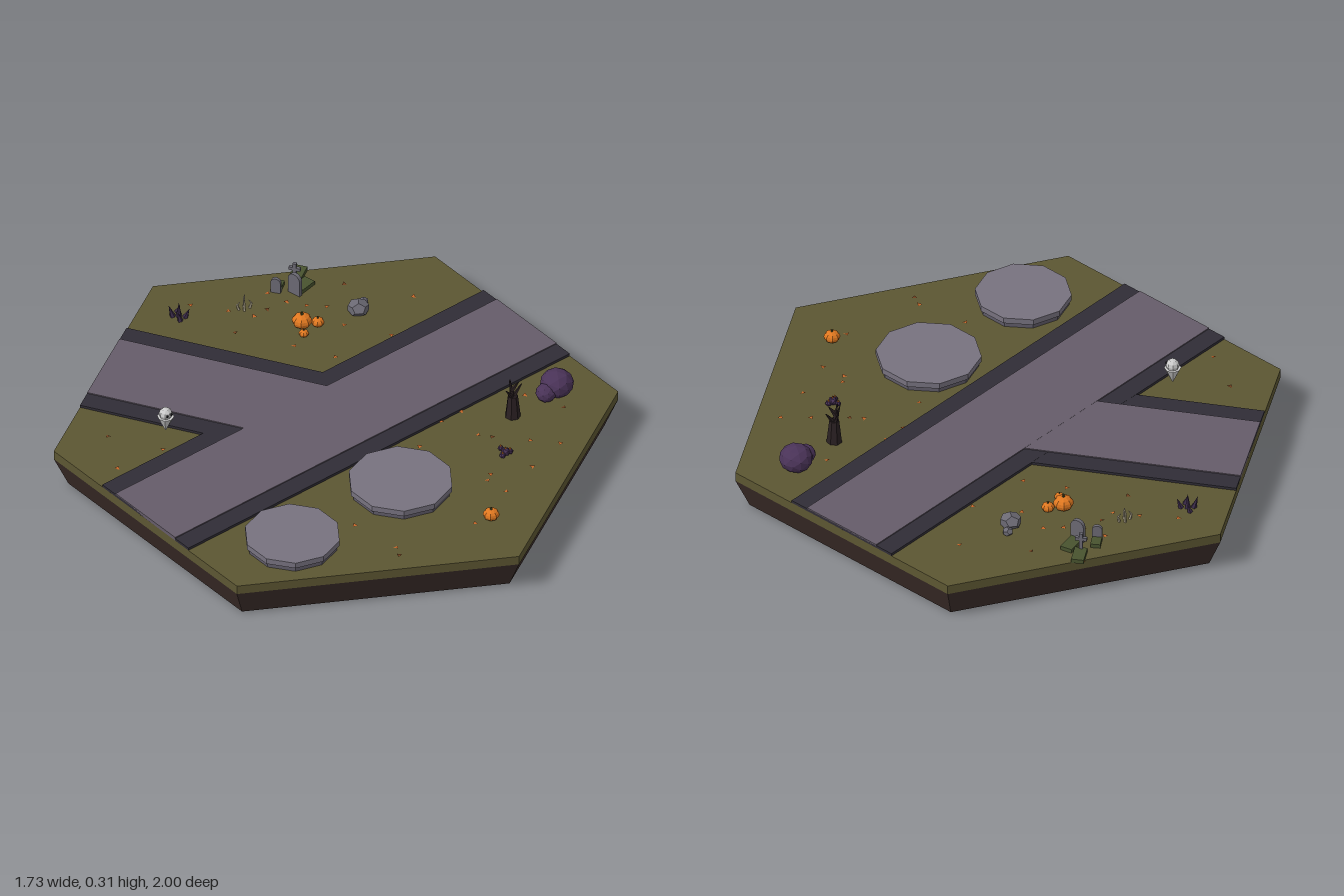
import * as THREE from 'three';

const GROUND = 0.15;

function material(color, side = THREE.FrontSide) {
  return new THREE.MeshStandardMaterial({ color, flatShading: true, side });
}
const MAT = {
  dirt: material(0x3d2e2a), grass: material(0x5c5632), kerb: material(0x302d36), road: material(0x655c69),
  slab: material(0x77727f), slabBase: material(0x5f5b68), orange: material(0xe07820), stem: material(0x4a4a22),
  rock: material(0x6b6973), bark: material(0x2a2022), purple: material(0x4a3358), crystal: material(0x3a2a48),
  white: material(0xe6e6e6), eye: material(0x202024), bone: material(0xbfb59a), moss: material(0x48532f),
  leaf: material(0xc8682a, THREE.DoubleSide), darkLeaf: material(0x70401f, THREE.DoubleSide),
};

export function createModel() {
  const model = new THREE.Group();

  function add(parent, name, geometry, mat, x = 0, y = 0, z = 0) {
    const mesh = new THREE.Mesh(geometry, mat);
    mesh.name = name;
    mesh.position.set(x, y, z);
    parent.add(mesh);
    return mesh;
  }
  function group(name, x, z, turn = 0) {
    const g = new THREE.Group();
    g.name = name;
    g.position.set(x, GROUND, z);
    g.rotation.y = turn;
    model.add(g);
    return g;
  }
  // Tapered stick between two points
  function stick(parent, name, from, to, r0, r1, mat, sides = 5) {
    const a = new THREE.Vector3(...from), b = new THREE.Vector3(...to);
    const dir = b.clone().sub(a);
    const mesh = add(parent, name, new THREE.CylinderGeometry(r1, r0, dir.length(), sides), mat);
    mesh.position.copy(a).add(b).multiplyScalar(0.5);
    mesh.quaternion.setFromUnitVectors(new THREE.Vector3(0, 1, 0), dir.normalize());
    return mesh;
  }

  // Hexagonal tile
  add(model, 'dirtBase', new THREE.CylinderGeometry(1, 0.948, 0.115, 6), MAT.dirt, 0, 0.0575, 0);
  add(model, 'grassTop', new THREE.CylinderGeometry(1, 1, 0.035, 6), MAT.grass, 0, 0.1325, 0);

  // Road through the middle and a branch to the back-left edge, each on a wider kerb
  const APOTHEM = 0.866;
  for (const [name, width, top, mat] of [['kerb', 0.47, 0.16, MAT.kerb], ['road', 0.326, 0.164, MAT.road]]) {
    const h = top - 0.148;
    add(model, name + 'Main', new THREE.BoxGeometry(APOTHEM * 2, h, width), mat, 0, top - h / 2, 0);
    const branch = add(model, name + 'Branch', new THREE.BoxGeometry(APOTHEM, h, width), mat,
      -APOTHEM / 4, top - h / 2 - 0.0004, -APOTHEM * 0.433);
    branch.rotation.y = -Math.PI / 3;
  }

  // Round stone platforms
  for (const [x, z, r] of [[-0.56, 0.435, 0.17], [-0.07, 0.437, 0.186]]) {
    const g = group('stonePlatform', x, z);
    add(g, 'platformBase', new THREE.CylinderGeometry(r * 0.95, r * 0.95, 0.02, 10), MAT.slabBase, 0, 0.01, 0);
    add(g, 'platformTop', new THREE.CylinderGeometry(r, r, 0.022, 10), MAT.slab, 0, 0.031, 0);
  }

  // Ribbed pumpkins
  for (const [x, z, r] of [[0.255, -0.492, 0.036], [0.224, -0.445, 0.018], [0.3, -0.46, 0.023], [0.062, 0.773, 0.029]]) {
    const g = group('pumpkin', x, z);
    const geo = new THREE.SphereGeometry(r, 16, 8), p = geo.attributes.position;
    for (let i = 0; i < p.count; i++) {
      const k = 0.96 + 0.05 * Math.cos(8 * Math.atan2(p.getZ(i), p.getX(i)));
      p.setXYZ(i, p.getX(i) * k, p.getY(i) * 0.75, p.getZ(i) * k);
    }
    geo.computeVertexNormals();
    add(g, 'pumpkinBody', geo, MAT.orange, 0, r * 0.72, 0);
    add(g, 'pumpkinStem', new THREE.CylinderGeometry(r * 0.1, r * 0.17, r * 0.4, 5), MAT.stem, 0, r * 1.55, 0);
  }

  // Rocks and purple bushes
  for (const [name, x, z, r, squash, mat] of [
    ['rock', 0.455, -0.425, 0.04, 0.75, MAT.rock], ['rock', 0.498, -0.45, 0.02, 0.8, MAT.rock],
    ['bush', 0.7, 0.365, 0.06, 0.85, MAT.purple], ['bush', 0.647, 0.37, 0.038, 0.9, MAT.purple]]) {
    const geo = name === 'rock' ? new THREE.DodecahedronGeometry(r) : new THREE.IcosahedronGeometry(r, 1);
    const mesh = add(model, name, geo, mat, x, GROUND + r * squash * 0.8, z);
    mesh.scale.y = squash;
    mesh.rotation.y = x * 9;
  }

  // Bare dead tree
  const tree = group('deadTree', 0.495, 0.37);
  stick(tree, 'trunk', [0, 0, 0], [0, 0.09, 0], 0.028, 0.018, MAT.bark, 7);
  for (const [from, to] of [
    [[0, 0.08, 0], [-0.01, 0.158, -0.005]], [[0, 0.08, 0], [0.034, 0.13, 0.008]], [[0, 0.08, 0], [-0.034, 0.128, 0.005]],
    [[0, 0.07, 0], [0.012, 0.135, -0.03]], [[-0.005, 0.115, 0], [0.014, 0.148, 0.014]]])
    stick(tree, 'branch', from, to, 0.01, 0.002, MAT.bark);

  // Little floating ghost with a tapering tail
  const ghost = group('ghost', -0.52, -0.305);
  add(ghost, 'ghostTail', new THREE.CylinderGeometry(0.03, 0.003, 0.058, 8), MAT.white, 0, 0.07, 0);
  add(ghost, 'ghostHead', new THREE.SphereGeometry(0.024, 8, 6), MAT.white, 0, 0.11, 0);
  for (const side of [-1, 1])
    add(ghost, 'ghostEye', new THREE.SphereGeometry(0.005, 6, 4), MAT.eye, side * 0.009, 0.114, 0.021);

  // Graves: a mossy mound with a headstone at one end
  const stoneShape = new THREE.Shape();
  stoneShape.moveTo(-0.026, 0);
  stoneShape.lineTo(0.026, 0);
  stoneShape.lineTo(0.026, 0.06);
  stoneShape.absarc(0, 0.06, 0.026, 0, Math.PI);
  const stoneGeo = new THREE.ExtrudeGeometry(stoneShape, { depth: 0.014, bevelEnabled: false, curveSegments: 6 });
  stoneGeo.translate(0, 0, -0.007).rotateY(Math.PI / 2);
  for (const [x, z, turn, length, width, kind] of [
    [0.33, -0.715, 0.6, 0.055, 0.035, 'small'], [0.43, -0.725, 0.55, 0.075, 0.045, 'cross'], [0.395, -0.66, 0.2, 0.085, 0.045, 'tall']]) {
    const g = group('grave', x, z, turn);
    add(g, 'graveMound', new THREE.BoxGeometry(length, 0.016, width), MAT.moss, 0, 0.007, 0);
    const end = -length / 2 + 0.003;
    if (kind === 'cross') {
      add(g, 'crossPost', new THREE.BoxGeometry(0.012, 0.078, 0.013), MAT.rock, end, 0.039, 0);
      add(g, 'crossArm', new THREE.BoxGeometry(0.012, 0.012, 0.042), MAT.rock, end, 0.055, 0);
    } else {
      const stone = add(g, 'headstone', stoneGeo, MAT.rock, end, 0, 0);
      if (kind === 'small') stone.scale.set(0.9, 0.7, 0.7);
    }
  }

  // Dark crystal spikes
  const crystals = group('crystals', -0.04, -0.81);
  for (const [x, z, h, lean] of [[0, 0, 0.058, 0], [0.014, 0.018, 0.038, 0.01], [-0.016, -0.014, 0.045, -0.01], [0.012, -0.022, 0.03, 0.006], [-0.012, 0.022, 0.034, -0.006]])
    stick(crystals, 'crystalSpike', [x, 0, z], [x + lean, h, z + lean], 0.011, 0.0005, MAT.crystal, 5);

  // Pale curved bones sticking out of the soil
  const bones = group('bones', 0.163, -0.697);
  for (let i = 0; i < 4; i++) {
    const x = (i - 1.5) * 0.012, h = 0.035 + 0.012 * (i % 3), z = (i % 2 - 0.5) * 0.016;
    stick(bones, 'boneLower', [x, 0, z], [x * 1.3, h * 0.6, z * 1.4], 0.005, 0.004, MAT.bone);
    stick(bones, 'boneTip', [x * 1.3, h * 0.6, z * 1.4], [x * 0.9, h, z * 0.5], 0.004, 0.001, MAT.bone);
  }

  // Clump of purple toadstools with orange tips
  const clump = group('toadstools', 0.335, 0.515);
  for (const [x, z, r, h] of [[0, 0.008, 0.017, 0.024], [-0.018, 0.014, 0.012, 0.016], [0.017, 0.012, 0.012, 0.018], [0, -0.018, 0.011, 0.026]]) {
    add(clump, 'toadstoolBody', new THREE.IcosahedronGeometry(r, 0), MAT.purple, x, h * 0.5, z);
    add(clump, 'toadstoolTip', new THREE.ConeGeometry(0.005, 0.014, 5), MAT.orange, x, h * 0.5 + r, z);
  }

  // Fallen leaves: [x, z] pairs in hundredths
  const leaves = [3, -83, 16, -64, 28, -71, 39, -52, 52, -58, 16, -42, 37, -40, 66, -37, 46, -25, -67, -44, -76, -28, -57, -26,
    28, 24, 37, 24, 36, 42, 33, 38, 22, 58, -33, 50, -30, 69, -32, 73, 0, 76, 19, 60, 52, 60, 60, 31, 5, -61, 23, -28,
    30, -63, 44, -75, 11, -72, 22, -64, 34, -57, 20, 69, 36, 64, 45, 52, 66, 45, 13, 30];
  for (let i = 0; i < leaves.length; i += 2) {
    const leaf = add(model, 'leaf', new THREE.CircleGeometry(0.011, 3), i % 10 === 8 ? MAT.darkLeaf : MAT.leaf,
      leaves[i] / 100, GROUND + 0.004, leaves[i + 1] / 100);
    leaf.rotation.set(-Math.PI / 2 + 0.2 * Math.sin(i), 0, i * 1.7);
  }
  return model;
}
